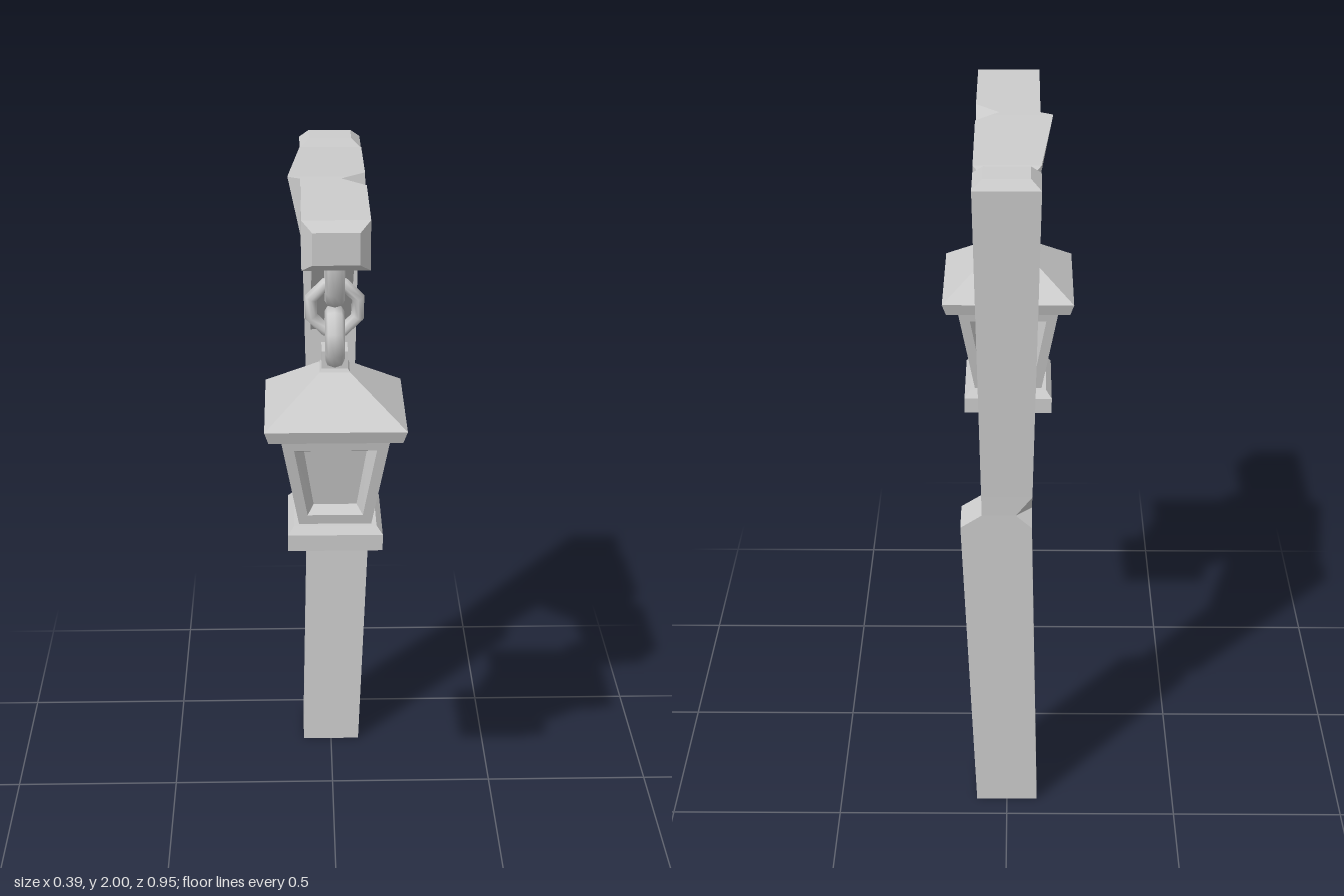
import * as THREE from 'three';

const grey = new THREE.MeshStandardMaterial({ color: 0xcccccc, flatShading: true });
const smoothGrey = new THREE.MeshStandardMaterial({ color: 0xcccccc });

// Skin a series of rings (counter-clockwise seen from the end), with optional caps
function loft(name, rings, startCap = true) {
  const pos = [];
  const tri = (a, b, c) => pos.push(...a, ...b, ...c);
  const n = rings[0].length;
  for (let r = 0; r < rings.length - 1; r++) {
    const a = rings[r], b = rings[r + 1];
    for (let i = 0; i < n; i++) {
      const j = (i + 1) % n;
      tri(a[i], a[j], b[j]);
      tri(a[i], b[j], b[i]);
    }
  }
  const first = rings[0], last = rings[rings.length - 1];
  for (let i = 1; i < n - 1; i++) {
    if (startCap) tri(first[0], first[i + 1], first[i]);
    tri(last[0], last[i], last[i + 1]);
  }
  const geo = new THREE.BufferGeometry();
  geo.setAttribute('position', new THREE.Float32BufferAttribute(pos, 3));
  geo.computeVertexNormals();
  const mesh = new THREE.Mesh(geo, grey);
  mesh.name = name;
  return mesh;
}

// Stack of centred squares, given as [half width, y]
const squares = (name, list) => loft(name, list.map(([h, y]) =>
  [[-h, y, h], [h, y, h], [h, y, -h], [-h, y, -h]]));

// Upright post: shoulder on the left, nick c in the back right edge
function makePost() {
  const sections = [ // y, x0, x1, z0, z1, c
    [0, -0.09, 0.09, -0.43, -0.255, 0],
    [0.96, -0.07, 0.13, -0.436, -0.316, 0],
    [1.0, -0.07, 0.07, -0.436, -0.318, 0.045],
    [1.06, -0.071, 0.071, -0.438, -0.32, 0],
    [1.975, -0.09, 0.09, -0.473, -0.34, 0],
    [2.0, -0.062, 0.062, -0.45, -0.36, 0],
  ];
  return loft('post', sections.map(([y, x0, x1, z0, z1, c]) =>
    [[x0, y, z1], [x1, y, z1], [x1, y, z0], [x0 + c, y, z0], [x0, y, z0 + c]]));
}

// Cross beam: flared top right edge, nick c in the top left edge
function makeBeam() {
  const sections = [ // z, x0 bottom, x0 top, x1, y0, y1, c
    [-0.338, -0.065, -0.065, 0.065, 1.835, 1.965, 0],
    [-0.315, -0.09, -0.09, 0.09, 1.81, 1.985, 0],
    [0, -0.09, -0.121, 0.09, 1.833, 1.998, 0],
    [0.045, -0.09, -0.125, 0.09, 1.836, 2, 0.046],
    [0.065, -0.09, -0.09, 0.09, 1.838, 2, 0.067],
    [0.132, -0.09, -0.09, 0.09, 1.843, 2, 0],
    [0.446, -0.09, -0.09, 0.09, 1.865, 2, 0],
    [0.475, -0.062, -0.062, 0.062, 1.888, 1.975, 0],
  ];
  return loft('beam', sections.map(([z, xb, xt, x1, y0, y1, c]) =>
    [[xb, y0, z], [x1, y0, z], [x1, y1 - c, z], [x1 - c, y1, z], [xt, y1, z]]));
}

// Diagonal brace between post and beam
function makeBrace() {
  const profile = [[0.18, 1.862], [-0.335, 1.41], [-0.335, 1.58], [0.02, 1.86]];
  return loft('brace', [-0.06, 0.06].map(x => profile.map(([z, y]) => [x, y, z])));
}

// Octagonal chain link; stretch lifts its upper half
function makeLink(y, turned, stretch = 0) {
  const geo = new THREE.TorusGeometry(0.069, 0.018, 8, 8);
  geo.rotateZ(Math.PI / 8);
  geo.scale(1, 1, 1.5);
  const p = geo.attributes.position;
  for (let i = 0; i < p.count; i++) if (p.getY(i) > 0) p.setY(i, p.getY(i) + stretch);
  const mesh = new THREE.Mesh(geo, smoothGrey);
  mesh.name = 'chainLink';
  mesh.position.y = y;
  if (turned) mesh.rotation.y = Math.PI / 2;
  return mesh;
}

// One tapered lantern side with a recessed pane
function makeSide() {
  const depth = y => 0.1 + (y - 1.09) * 0.175;
  const ring = (h0, y0, h1, y1, inset) => {
    const z0 = depth(y0) - inset, z1 = depth(y1) - inset;
    return [[-h0, y0, z0], [h0, y0, z0], [h1, y1, z1], [-h1, y1, z1]];
  };
  return loft('lanternSide', [
    ring(depth(1.09), 1.09, depth(1.38), 1.38, 0),
    ring(0.077, 1.125, 0.113, 1.337, 0),
    ring(0.06, 1.147, 0.086, 1.322, 0.03),
  ], false);
}

function makeLantern() {
  const lantern = new THREE.Group();
  lantern.name = 'lantern';
  lantern.add(
    squares('lanternBase', [[0.132, 1.027], [0.132, 1.075], [0.115, 1.096]]),
    squares('lanternRoof', [[0.182, 1.376], [0.193, 1.412], [0.04, 1.527]]),
    squares('lanternCap', [[0.045, 1.52], [0.036, 1.535], [0.036, 1.585]]),
  );
  for (let i = 0; i < 4; i++) {
    const side = makeSide();
    side.rotation.y = i * Math.PI / 2;
    lantern.add(side);
  }
  return lantern;
}

export function createModel() {
  const model = new THREE.Group();
  model.name = 'hangingLanternPost';
  const hanging = new THREE.Group();
  hanging.name = 'hangingLantern';
  hanging.position.z = 0.262;
  hanging.add(makeLink(1.79, true, 0.07), makeLink(1.7, false), makeLink(1.615, true), makeLantern());
  model.add(makePost(), makeBeam(), makeBrace(), hanging);
  return model;
}
